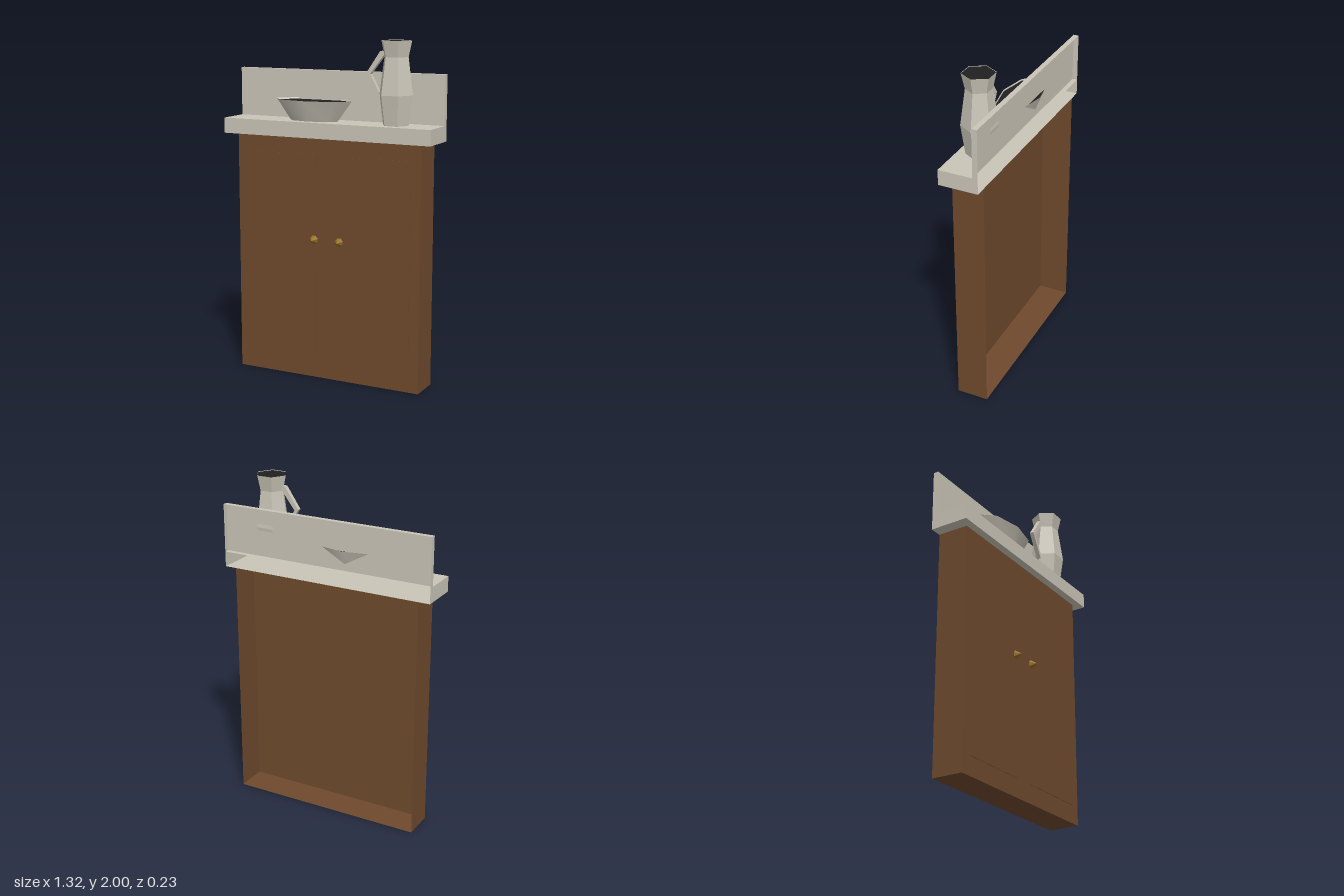
import * as THREE from 'three';
import { toCreasedNormals } from 'three/addons/utils/BufferGeometryUtils.js';

const mat = (name, color, double = true) => {
  const m = new THREE.MeshStandardMaterial({ color, side: double ? THREE.DoubleSide : THREE.FrontSide });
  m.name = name;
  return m;
};

// Box given by its limits, leaving out the listed faces (0 +x, 1 -x, 2 +y, 3 -y, 4 +z, 5 -z)
function openBox(x0, x1, y0, y1, z0, z1, skip = []) {
  const g = new THREE.BoxGeometry(x1 - x0, y1 - y0, z1 - z0);
  g.translate((x0 + x1) / 2, (y0 + y1) / 2, (z0 + z1) / 2);
  const index = Array.from(g.index.array).filter((_, i) => !skip.includes(Math.floor(i / 6)));
  g.setIndex(index);
  g.clearGroups();
  return g;
}

// Faceted vessel wall turned from [radius, height] pairs, with corners on the x axis
function vessel(profile, sides, depth, crease) {
  const points = profile.map(([r, y]) => new THREE.Vector2(r, y));
  const g = new THREE.LatheGeometry(points, sides, Math.PI / 2);
  g.scale(1, 1, depth);
  g.deleteAttribute('normal');
  g.deleteAttribute('uv');
  return toCreasedNormals(g, crease);
}

export function createModel() {
  const group = new THREE.Group();
  const wood = mat('brown wood', 0x6f4a2d);
  const stone = mat('pale stone', 0xcac5b8);
  const dark = mat('dark inside', 0x202020, false);
  const brass = mat('brass', 0x94701f, false);

  const add = (name, geometry, material, x = 0, y = 0, z = 0) => {
    const mesh = new THREE.Mesh(geometry, material);
    mesh.name = name;
    mesh.position.set(x, y, z);
    group.add(mesh);
    return mesh;
  };

  // Cabinet shell, open at the back and closed above by the counter
  add('cabinet', openBox(-0.588, 0.588, 0, 1.44, -0.115, 0.072, [2, 5]), wood);

  // Pair of doors with knobs
  for (const side of [-1, 1]) {
    const inner = side * 0.065, outer = side * 0.525;
    add(side < 0 ? 'rightDoor' : 'leftDoor',
      openBox(Math.min(inner, outer), Math.max(inner, outer), 0.11, 1.34, 0.072, 0.075, [5]), wood);
    const knob = new THREE.ConeGeometry(0.027, 0.038, 7).toNonIndexed();
    knob.computeVertexNormals();
    knob.rotateX(Math.PI / 2);
    add(side < 0 ? 'rightKnob' : 'leftKnob', knob, brass, side * 0.082, 0.84, 0.093);
  }

  // Counter and splashback, both hollow behind
  add('counter', openBox(-0.658, 0.658, 1.44, 1.53, -0.117, 0.117, [5]), stone);
  add('splashback', openBox(-0.658, 0.658, 1.53, 1.815, -0.117, -0.086, [3, 5]), stone);

  // Oval wash bowl
  const bowlDepth = 0.465;
  add('bowl', vessel([[0.155, 0], [0.245, 0.12]], 8, bowlDepth, 0.95), stone, -0.12, 1.53, 0);
  const bowlDisc = new THREE.CircleGeometry(0.238, 8).rotateX(-Math.PI / 2).scale(1, 1, bowlDepth);
  add('bowlInside', bowlDisc, dark, -0.12, 1.642, 0);

  // Six-sided jug
  const jugX = 0.4;
  add('jug', vessel([[0.078, 0], [0.102, 0.17], [0.073, 0.38], [0.093, 0.47]], 6, 1, 0.1), stone, jugX, 1.53, 0);
  const jugDisc = new THREE.CircleGeometry(0.092, 6).rotateX(-Math.PI / 2);
  add('jugInside', jugDisc, dark, jugX, 1.997, 0);

  // Angular jug handle
  const outline = [[0.325, 1.94], [0.305, 1.94], [0.22, 1.815], [0.305, 1.665], [0.305, 1.70], [0.245, 1.81], [0.33, 1.92]];
  const handle = new THREE.ExtrudeGeometry(new THREE.Shape(outline.map(([x, y]) => new THREE.Vector2(x, y))),
    { depth: 0.026, bevelEnabled: false });
  add('jugHandle', handle, stone, 0, 0, -0.015);

  return group;
}
